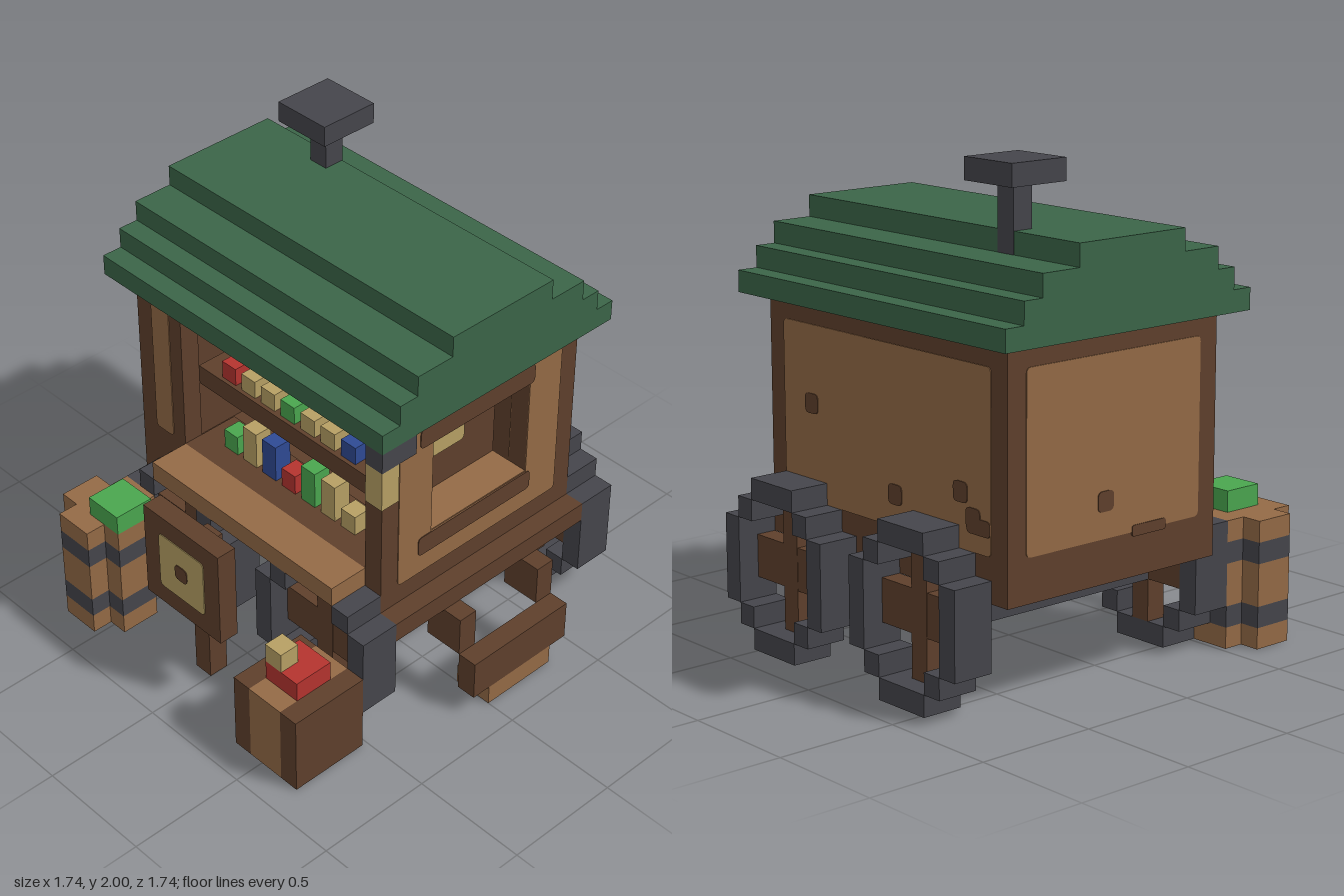
import * as THREE from 'three';

const U = 2 / 23; // one block

export function createModel() {
  const mat = (name, color) => {
    const m = new THREE.MeshStandardMaterial({ color });
    m.name = name;
    return m;
  };
  const dark = mat('dark wood', 0x5f402c);
  const light = mat('light wood', 0x946a46);
  const iron = mat('iron', 0x45454b);
  const green = mat('roof green', 0x3b6548);
  const leaf = mat('bright green', 0x4aa64f);
  const red = mat('red', 0xb5342f);
  const straw = mat('straw yellow', 0xb7a064);
  const blue = mat('blue', 0x2f4a94);

  const root = new THREE.Group();
  root.name = 'marketWagon';
  const body = new THREE.Group();
  body.name = 'wagon';
  body.scale.setScalar(U);
  root.add(body);

  // Box between block coordinates: x0..x1, y0..y1, z0..z1
  const box = (name, m, x0, x1, y0, y1, z0, z1, parent = body) => {
    const mesh = new THREE.Mesh(new THREE.BoxGeometry(x1 - x0, y1 - y0, z1 - z0), m);
    mesh.position.set((x0 + x1) / 2, (y0 + y1) / 2, (z0 + z1) / 2);
    mesh.name = name;
    parent.add(mesh);
    return mesh;
  };

  // Thin rounded plate on a wall; side is the outward normal, at its plane
  const trace = (s, a0, a1, b0, b1, r) => {
    s.moveTo(a0 + r, b0);
    s.lineTo(a1 - r, b0); s.quadraticCurveTo(a1, b0, a1, b0 + r);
    s.lineTo(a1, b1 - r); s.quadraticCurveTo(a1, b1, a1 - r, b1);
    s.lineTo(a0 + r, b1); s.quadraticCurveTo(a0, b1, a0, b1 - r);
    s.lineTo(a0, b0 + r); s.quadraticCurveTo(a0, b0, a0 + r, b0);
    return s;
  };
  const turns = { '+z': 0, '+x': Math.PI / 2, '-z': Math.PI, '-x': -Math.PI / 2 };
  const plate = (name, m, side, at, a0, a1, b0, b1, thick = 0.04, hole = null, r = 0.25) => {
    // a runs along x (or z) in model coordinates
    const flip = side === '-z' || side === '+x';
    const span = (p, q) => (flip ? [-q, -p] : [p, q]);
    const shape = trace(new THREE.Shape(), ...span(a0, a1), b0, b1, r);
    if (hole) shape.holes.push(trace(new THREE.Path(), ...span(hole[0], hole[1]), hole[2], hole[3], 0.01));
    const geo = new THREE.ExtrudeGeometry(shape, { depth: thick, bevelEnabled: false, curveSegments: 4 });
    const mesh = new THREE.Mesh(geo, m);
    mesh.rotation.y = turns[side];
    if (side[1] === 'z') mesh.position.z = at;
    else mesh.position.x = at;
    mesh.name = name;
    body.add(mesh);
  };

  // Floor and ledge
  box('floor', dark, -4, 8, 5, 6, -9, 7);
  box('frontLedge', dark, -4, 8, 5, 6, 7, 8);

  // Corner posts
  for (const x of [-4, 7]) for (const z of [-9, 6]) box('cornerPost', dark, x, x + 1, 6, 16, z, z + 1);

  // Right-hand and back walls
  box('sideWall', dark, 7, 8, 6, 16, -8, 6);
  box('backWall', dark, -3, 7, 6, 16, -9, -8);
  plate('sidePanel', light, '+x', 8, -8, 6, 7, 15);
  plate('backPanel', light, '-z', -9, -3, 7, 7, 15);
  for (const [z, y] of [[4, 11], [-1.8, 8], [-6.1, 9], [-6.9, 8]]) {
    plate('sideKnot', dark, '+x', 8, z - 0.45, z + 0.45, y, y + 0.9, 0.08);
  }
  plate('sideKnot', dark, '+x', 8, -8, -6.5, 7.8, 8.5, 0.08);
  plate('backKnot', dark, '-z', -9, 2.1, 3, 8.2, 9.1, 0.08);
  plate('backKnot', dark, '-z', -9, -1, 1, 6.8, 7.3, 0.08, null, 0.15);

  // Front wall around its window
  box('frontWallLeft', dark, 5, 7, 6, 16, 6, 7);
  box('frontWallRight', dark, -3, -1, 6, 16, 6, 7);
  box('frontWallSill', dark, -1, 5, 6, 9, 6, 7);
  box('frontWallHeader', dark, -1, 5, 14, 16, 6, 7);
  const frame = [-1, 5, 9, 14];
  plate('frontPanel', light, '+z', 7, -3, 7, 7, 15, 0.04, frame);
  plate('frontInnerPanel', light, '-z', 6, -3, 7, 7, 15, 0.04, frame);
  plate('windowSillTrim', dark, '+z', 7, -1.8, 5.25, 8, 9, 0.08);
  plate('windowTopTrim', dark, '+z', 7, -1.8, 5.25, 14, 15, 0.08);
  box('sillTop', light, -1, 5, 9, 9.06, 5, 7);

  // Shutter behind the window
  box('shutter', dark, -1, 5, 9, 14, 4, 5);
  plate('shutterPlaque', straw, '+z', 5, 0.9, 3, 10.9, 12, 0.06);

  // Serving side with a wide opening and counter
  box('servingWall', dark, -4, -3, 6, 8, -8, 6);
  box('servingHeader', dark, -4, -3, 15, 16, -8, 6);
  box('servingSidePanel', dark, -4, -3, 8, 15, -8, -6);
  plate('servingTrim', light, '-x', -4, -8, -6.8, 8, 15);
  box('counter', light, -6, -4, 7, 8, -6, 6);

  // Shelves and goods
  box('lowerShelf', dark, -3, -1, 7, 8, -6, 5);
  box('upperShelf', dark, -3, -1, 11, 12, -6, 5);
  const goods = [red, straw, straw, leaf, straw, straw, blue];
  goods.forEach((m, i) => {
    const z = -4.6 + i * 1.3;
    box('upperGoods', m, -2.8, -1.9, 12, 12.9, z, z + 0.9);
  });
  [leaf, straw, blue, red, leaf, straw, straw].forEach((m, i) => {
    const z = -4.6 + i * 1.3;
    box('lowerGoods', m, -2.8, -1.9, 8, i % 3 === 0 ? 9 : 9.9, z, z + 0.9);
  });

  // Stepped roof
  [[-5, 9], [-4, 8], [-3, 7], [-1, 5]].forEach(([x0, x1], i) => {
    box('roofStep', green, x0, x1, 16 + i, 17 + i, -10, 8);
  });

  // Chimney
  box('chimneyPipe', iron, 4, 5.03, 19, 22, -6, -5);
  box('chimneyCap', iron, 3, 6, 22, 23, -7, -4);

  // Axles and wheels
  for (const zc of [4.5, -4.5]) {
    box('axle', iron, -4, 8, 3, 5, zc - 0.5, zc + 0.5);
    for (const [x0, left] of [[8, true], [-6, false]]) {
      const wheel = new THREE.Group();
      wheel.name = left ? 'leftWheel' : 'rightWheel';
      body.add(wheel);
      const x1 = x0 + 2;
      const rim = (y0, y1, a, b) => box('rim', iron, x0, x1, y0, y1, zc + a, zc + b, wheel);
      rim(0, 1, -1.5, 1.5);
      if (left) rim(7, 8, -1.5, 1.5); // the counter covers the other wheels' tops
      for (const y of [1, 6]) {
        rim(y, y + 1, -2.5, -1.5);
        rim(y, y + 1, 1.5, 2.5);
      }
      rim(2, 6, -3.5, -2.5);
      rim(2, 6, 2.5, 3.5);
      const s = left ? 8 : -5;
      box('spokeUpright', dark, s, s + 1, 1, 7, zc - 0.5, zc + 0.5, wheel);
      box('spokeAcross', dark, s + 0.02, s + 0.98, 3, 5, zc - 2.5, zc + 2.5, wheel);
    }
  }

  // Front step
  for (const x of [-1, 4]) box('stepArm', dark, x, x + 1, 3, 5, 7, 9);
  box('stepBoard', dark, -1, 5, 1, 3, 9, 10);
  box('footBoard', light, 0, 4, 0, 1, 8, 10);

  // Hanging lantern
  box('lanternBracket', iron, -5, -3, 15, 16, 7, 8);
  box('lantern', straw, -5, -4, 13, 15, 7, 8);

  // Crate with goods
  box('crateCore', light, -10, -6, 0, 4, 5, 7);
  for (const z of [4, 7]) box('crateSide', dark, -10, -6, 0, 4, z, z + 1);
  box('redParcel', red, -9, -7, 4, 5, 5, 7);
  box('smallParcel', straw, -9, -8, 5, 6, 5, 6);

  // Barrel in stacked bands, each a cross of two boxes
  [[0, 1, light], [1, 2, iron], [2, 4, light], [4, 5, iron], [5, 6, light]].forEach(([y0, y1, m]) => {
    box('barrelBand', m, -10, -6, y0, y1, -8, -6);
    box('barrelBand', m, -9, -7, y0, y1, -9, -8);
    box('barrelBand', m, -9, -7, y0, y1, -6, -5);
  });
  box('greenParcel', leaf, -9, -7, 6, 7, -7, -5);

  // Sign on a post
  box('signPost', dark, -8, -7, 0, 8, -1, 0);
  box('signBoard', dark, -9, -8, 4, 9, -3, 2);
  plate('signFace', straw, '-x', -9, -2, 1, 5, 8, 0.04);
  plate('signDot', dark, '-x', -9, -0.9, -0.1, 6.1, 6.9, 0.08);

  return root;
}
